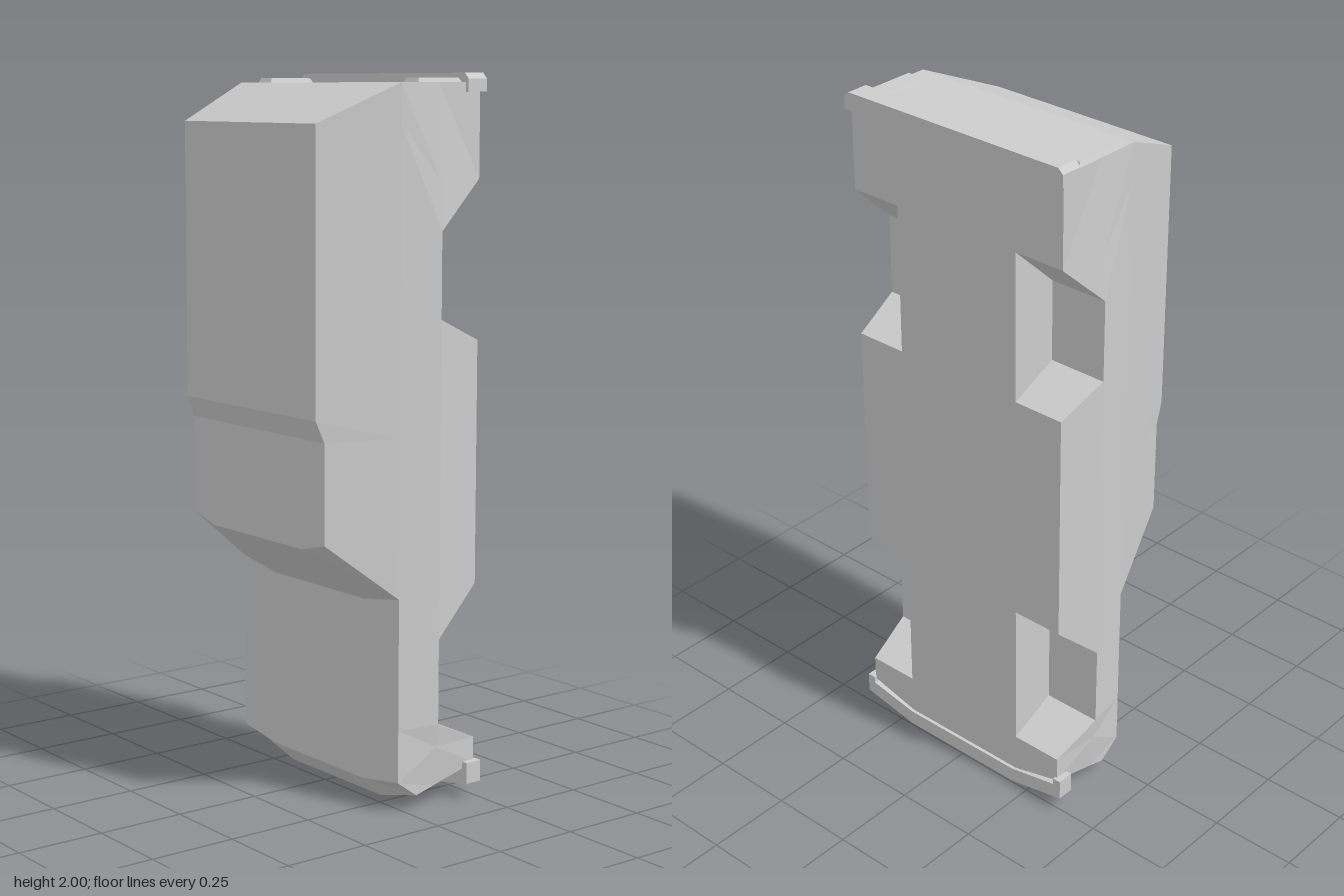
import * as THREE from 'three';

const MID = 0.205; // x of the inner lengthwise edge (floor, roof and nose kink)
const FLOOR = -0.245;

// Half section of the body, floor to roof, then mirrored into a closed ring
function ring([yA, yC, yD, ySide, yMid, zWell, xWaist, xRoof, zTop]) {
  const inWell = zWell > FLOOR;
  const half = [
    [MID, yA, FLOOR],
    [MID, yA, zWell],
    [inWell ? xWaist : 0.36, yC, zWell],
    [xWaist, yD, -0.1],
    [0.36, ySide, Math.min(0.025, zTop)],
    [xRoof, ySide, zTop],
    [MID, yMid, zTop],
  ];
  return [...half, ...half.map(([x, y, z]) => [-x, y, z]).reverse()];
}

// Flat-shaded body lofted from nose to tail
function bodyGeometry() {
  const up = -0.1;
  const rings = [
    [0.055, 0.095, 0.056, 0.04, 0, FLOOR, 0.36, 0.36, -0.04], // nose
    [0.17, 0.17, 0.17, 0.087, 0.063, FLOOR, 0.373, 0.36, 0.025], // hood edge
    [0.235, 0.235, 0.235, 0.235, 0.235, up, 0.38, 0.36, 0.025],
    [0.475, 0.475, 0.475, 0.475, 0.475, up, 0.38, 0.36, 0.025],
    [0.61, 0.61, 0.61, 0.6, 0.575, FLOOR, 0.38, 0.36, 0.025], // windshield base
    [0.765, 0.765, 0.765, 0.765, 0.74, FLOOR, 0.38, 0.305, 0.235], // windshield top
    [1.04, 1.04, 1.04, 1.04, 1.04, FLOOR, 0.38, 0.305, 0.235],
    [1.1, 1.1, 1.1, 1.1, 1.1, FLOOR, 0.38, 0.3, 0.26], // roof step
    [1.285, 1.285, 1.285, 1.285, 1.285, FLOOR, 0.38, 0.3, 0.26],
    [1.35, 1.35, 1.35, 1.35, 1.35, up, 0.38, 0.3, 0.26],
    [1.585, 1.585, 1.585, 1.585, 1.585, up, 0.38, 0.3, 0.26],
    [1.72, 1.72, 1.72, 1.87, 1.87, FLOOR, 0.373, 0.3, 0.26], // roof end
    [1.975, 1.975, 1.975, 1.975, 1.975, FLOOR, 0.36, 0.36, 0.025], // tail
  ].map(ring);

  const out = [];
  const tri = (a, b, c) => {
    const [p, q, r] = [a, b, c].map((v) => new THREE.Vector3(...v));
    if (new THREE.Triangle(p, q, r).getArea() > 1e-7) out.push(...a, ...b, ...c);
  };
  for (let k = 0; k < rings.length - 1; k++) {
    const r = rings[k], s = rings[k + 1], n = r.length;
    for (let j = 0; j < n; j++) {
      const i = (j + 1) % n;
      // Diagonals mirror from one side to the other
      if (j < n / 2) { tri(r[j], s[j], s[i]); tri(r[j], s[i], r[i]); }
      else { tri(r[j], s[j], r[i]); tri(s[j], s[i], r[i]); }
    }
  }
  // Nose and tail caps
  const cap = [[6, 0, 2], [6, 2, 3], [6, 3, 5], [0, 6, 7], [0, 7, 13], [7, 11, 13], [7, 10, 11], [7, 8, 10]];
  const first = rings[0], last = rings[rings.length - 1];
  for (const [a, b, c] of cap) {
    // The left half runs the other way round
    const flip = a === 7;
    const [p, q] = flip ? [c, b] : [b, c];
    const ccw = flip ? [a, b, c] : [a, p, q];
    tri(...ccw.map((i) => first[i]));
    tri(...ccw.reverse().map((i) => last[i]));
  }
  const g = new THREE.BufferGeometry();
  g.setAttribute('position', new THREE.Float32BufferAttribute(out, 3));
  g.computeVertexNormals();
  return g;
}

// Box whose vertices are moved by a rule
function shapedBox(w, h, d, rule) {
  const g = new THREE.BoxGeometry(w, h, d).toNonIndexed();
  const p = g.attributes.position;
  const v = new THREE.Vector3();
  for (let i = 0; i < p.count; i++) {
    rule(v.fromBufferAttribute(p, i));
    p.setXYZ(i, v.x, v.y, v.z);
  }
  g.computeVertexNormals();
  return g;
}

// Plan outline in x and y, extruded along z
function slab(points, z0, z1) {
  const shape = new THREE.Shape(points.map(([x, y]) => new THREE.Vector2(x, y)));
  return new THREE.ExtrudeGeometry(shape, { depth: z1 - z0, bevelEnabled: false }).translate(0, 0, z0);
}

export function createModel() {
  const group = new THREE.Group();
  const grey = new THREE.MeshStandardMaterial({ color: 0xcccccc });
  grey.name = 'lightGrey';
  const add = (name, geometry) => {
    const mesh = new THREE.Mesh(geometry, grey);
    mesh.name = name;
    group.add(mesh);
    return mesh;
  };

  add('body', bodyGeometry());

  // Bumpers
  const frontHalf = [[0.2, 0.01], [0.38, 0.045], [0.38, 0.105], [0.355, 0.105], [0.355, 0.085], [0.2, 0.055]];
  const mirror = (pts) => [...pts, ...pts.map(([x, y]) => [-x, y]).reverse()];
  add('frontBumper', slab(mirror(frontHalf), -0.255, -0.205));
  add('rearBumper', slab(mirror([[0.37, 1.95], [0.37, 1.985], [0.355, 2]]), -0.26, -0.195));

  // Thin panel following the sloped, kinked nose
  const noseY = (x, z) => (0.04 * Math.max(0, Math.abs(x) - MID)) / (0.36 - MID) + 0.268 * (-0.04 - z);
  const nosePanel = (x0, x1, z0, z1) =>
    shapedBox(x1 - x0, 0.008, z1 - z0, (v) => {
      v.x += (x0 + x1) / 2;
      v.z += (z0 + z1) / 2;
      v.y += noseY(v.x, v.z);
    });
  add('grille', nosePanel(-0.19, 0.19, -0.18, -0.07));

  for (const [side, s] of [['left', 1], ['right', -1]]) {
    const [x0, x1] = s > 0 ? [0.225, 0.345] : [-0.345, -0.225];
    add(side + 'Headlight', nosePanel(x0, x1, -0.17, -0.07));
    // Tail light with chamfered rim
    add(side + 'TailLight', shapedBox(0.066, 0.016, 0.153, (v) => {
      if (v.y > 0) { v.x *= 0.75; v.z *= 0.9; }
    })).position.set(s * 0.327, 1.979, -0.107);
  }
  return group;
}
